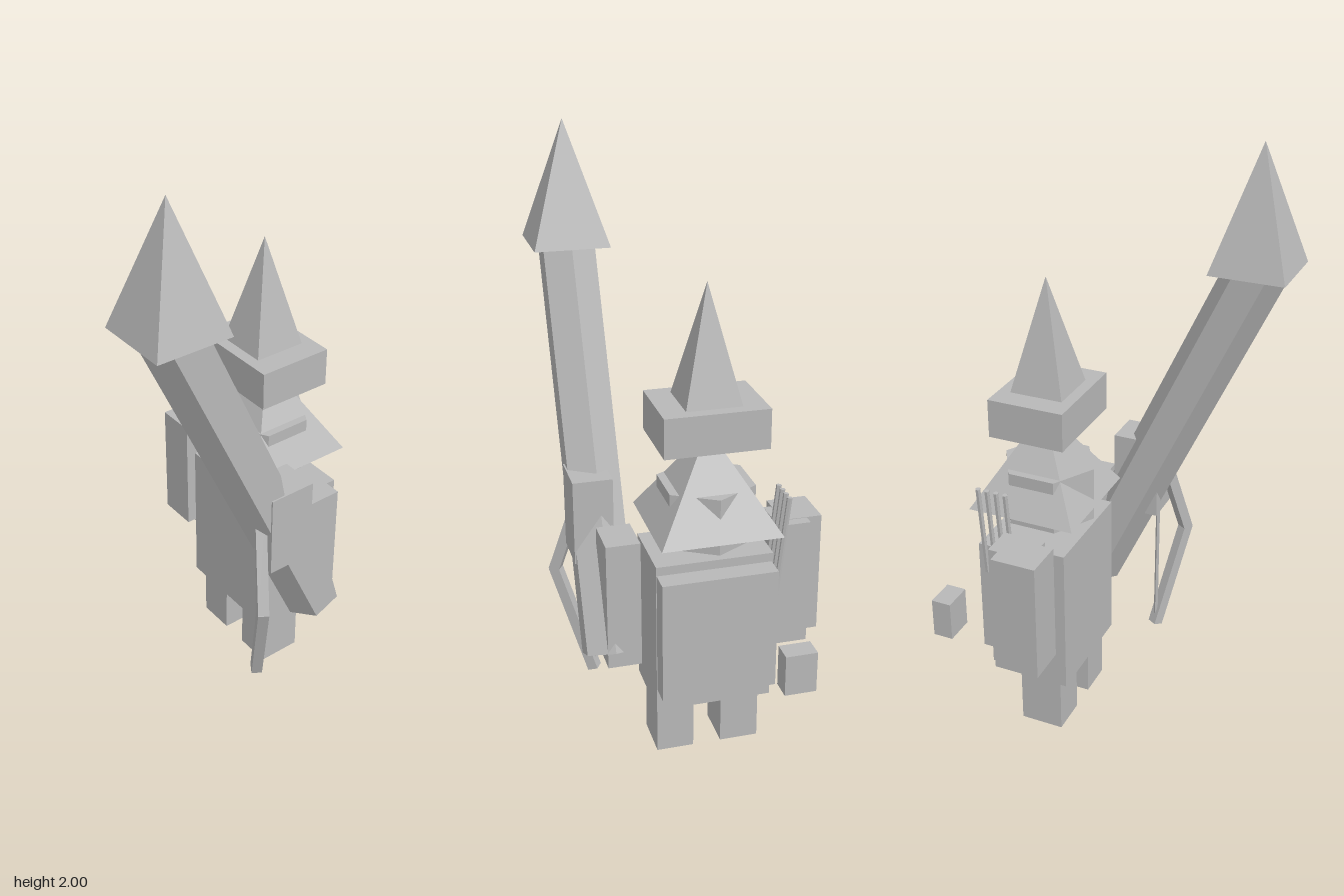
import * as THREE from 'three';

export function createModel() {
  const model = new THREE.Group();
  const grey = new THREE.MeshStandardMaterial({ color: 0xb8b8b8, flatShading: true });
  grey.name = 'grey';

  const add = (name, geometry, parent = model) => {
    const mesh = new THREE.Mesh(geometry, grey);
    mesh.name = name;
    parent.add(mesh);
    return mesh;
  };
  // Box given by its extents on each axis
  const box = (name, x0, x1, y0, y1, z0, z1) =>
    add(name, new THREE.BoxGeometry(x1 - x0, y1 - y0, z1 - z0))
      .position.set((x0 + x1) / 2, (y0 + y1) / 2, (z0 + z1) / 2);
  // Four-sided pyramid standing on y0
  const pyramid = (name, x, z, y0, y1, w, d) => {
    const g = new THREE.ConeGeometry(Math.SQRT1_2, 1, 4).rotateY(Math.PI / 4);
    g.scale(w, y1 - y0, d);
    add(name, g).position.set(x, (y0 + y1) / 2, z);
  };
  // Straight rod between two points
  const rod = (name, a, b, r, sides) => {
    const dir = b.clone().sub(a);
    const mesh = add(name, new THREE.CylinderGeometry(r, r, dir.length(), sides));
    mesh.position.copy(a).add(b).multiplyScalar(0.5);
    mesh.quaternion.setFromUnitVectors(new THREE.Vector3(0, 1, 0), dir.normalize());
  };
  const v = (x, y, z) => new THREE.Vector3(x, y, z);
  const cx = -0.033; // centre line of the figure

  // Legs, body and pack
  box('rightLeg', -0.21, -0.08, 0, 0.205, -0.23, -0.08);
  box('leftLeg', 0.015, 0.14, 0, 0.205, -0.23, -0.08);
  box('body', -0.227, 0.157, 0.205, 0.73, -0.295, -0.05);
  box('backpack', -0.222, 0.155, 0.285, 0.7, -0.365, -0.29);
  box('pouch', -0.305, -0.2, 0.34, 0.48, -0.513, -0.443);

  // Arms, shield and forearm holding the bow
  box('rightArm', -0.37, -0.259, 0.36, 0.795, -0.245, -0.1);
  box('shield', -0.42, -0.285, 0.38, 0.797, -0.21, -0.057);
  box('leftArm', 0.193, 0.304, 0.36, 0.795, -0.245, -0.1);
  box('forearm', 0.24, 0.37, 0.66, 0.945, -0.075, 0.085);

  // Six-sided head, hood and pointed hat
  add('head', new THREE.CylinderGeometry(0.16, 0.16, 0.187, 6)).position.set(cx, 0.868, -0.19);
  pyramid('hood', cx, -0.205, 0.83, 1.14, 0.39, 0.37);
  box('hatBrim', -0.2, 0.135, 1.1, 1.23, -0.318, -0.06);
  pyramid('hatTip', cx, -0.188, 1.23, 1.6, 0.179, 0.179);

  // Leaning spear
  rod('spearShaft', v(0.28, 0.378, -0.17), v(0.28, 1.652, 0.41), 0.098, 6);
  pyramid('spearHead', 0.28, 0.387, 1.605, 2, 0.248, 0.248);

  // Bow: two limbs bent at the grip, and a string
  const bow = new THREE.Group();
  bow.name = 'bow';
  bow.position.set(0.29, 0.545, 0.072);
  bow.rotation.y = -0.54;
  model.add(bow);
  const reach = 0.128, half = 0.372;
  for (const s of [1, -1]) {
    const limb = add('bowLimb', new THREE.BoxGeometry(0.036, Math.hypot(reach, half) + 0.01, 0.036), bow);
    limb.position.set(reach / 2, s * half / 2, 0);
    limb.rotation.z = s * Math.atan2(reach, half);
  }
  add('bowString', new THREE.CylinderGeometry(0.007, 0.007, half * 2, 6), bow);

  // Arrows tucked beside the pack
  for (let i = 0; i < 4; i++) {
    const z = -0.237 - i * 0.0325;
    rod('arrow', v(-0.224, 0.6, z), v(-0.26, 0.937, z), 0.009, 6);
  }
  return model;
}
